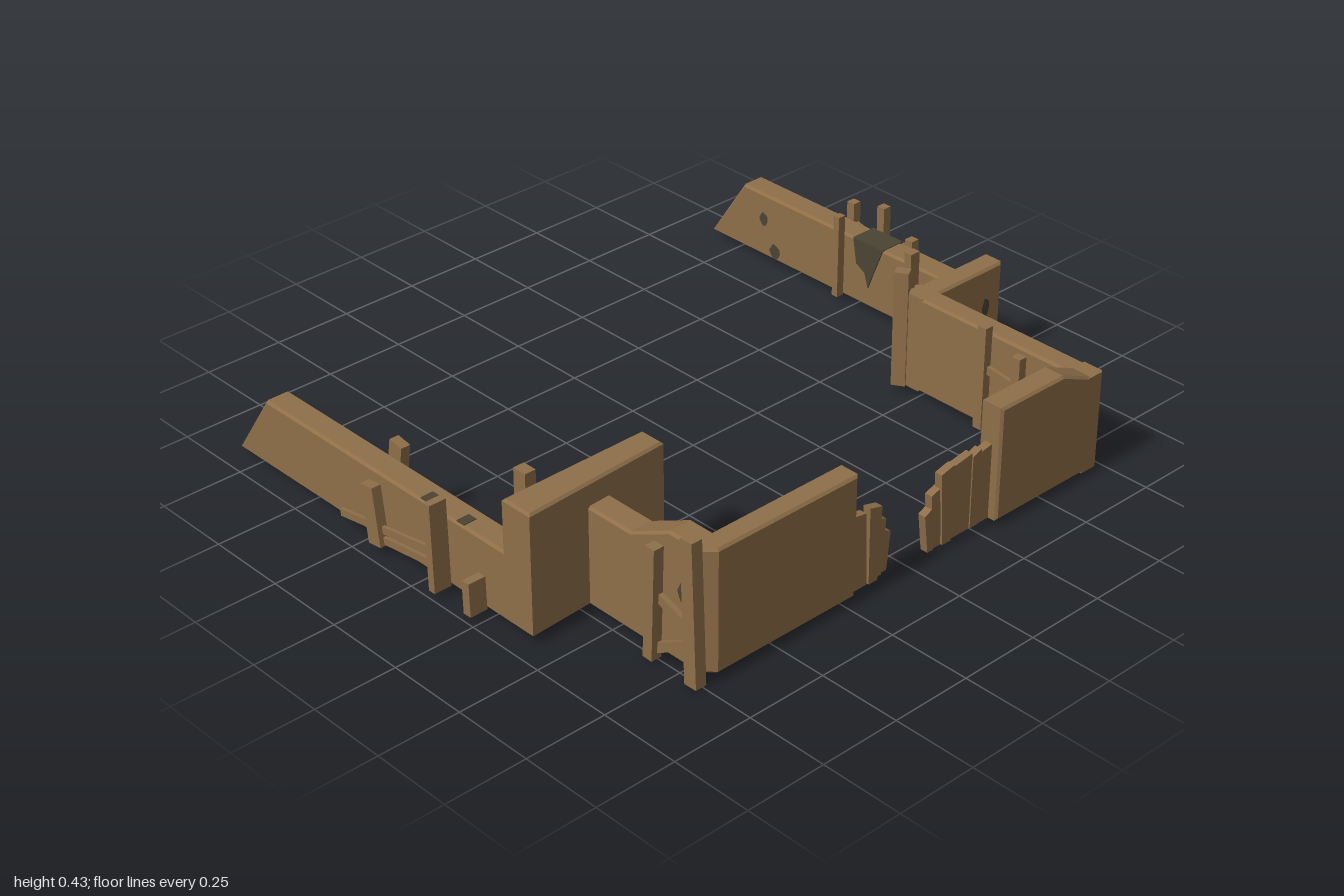
import * as THREE from 'three';

const wood = new THREE.MeshStandardMaterial({ color: 0x8f6f49 });
wood.name = 'wood';
const charred = new THREE.MeshStandardMaterial({ color: 0x4a4434, side: THREE.DoubleSide });
charred.name = 'charred';

const BASE = 0.02;
const BEVEL = 0.007;

export function createModel() {
  const model = new THREE.Group();

  const add = (name, geometry, material = wood) => {
    const mesh = new THREE.Mesh(geometry, material);
    mesh.name = name;
    model.add(mesh);
    return mesh;
  };

  const extrude = (points, thickness, b = BEVEL) => {
    const shape = new THREE.Shape(points.map(([x, y]) => new THREE.Vector2(x, y)));
    return new THREE.ExtrudeGeometry(shape, {
      depth: thickness - 2 * b, bevelEnabled: b > 0, bevelSegments: 1,
      bevelSize: b, bevelThickness: b, bevelOffset: -b,
    }).translate(0, 0, b);
  };

  // Wall running along x: elevation points are [x, y]
  const wallX = (name, points, z0, z1) =>
    add(name, extrude(points, z1 - z0).translate(0, 0, z0));

  // Wall running along z: elevation points are [z, y]
  const wallZ = (name, points, x0, x1, b) =>
    add(name, extrude(points, x1 - x0, b).rotateY(-Math.PI / 2).translate(x1, 0, 0));

  // Upright block: plan points are [x, z]
  const column = (name, plan, y0, y1) =>
    add(name, extrude(plan.map(([x, z]) => [x, -z]), y1 - y0).rotateX(-Math.PI / 2).translate(0, y0, 0));

  // Straight timber between two points
  const up = new THREE.Vector3(0, 1, 0);
  const beam = (name, from, to, width, depth, turn = 0) => {
    const a = new THREE.Vector3(...from);
    const dir = new THREE.Vector3(...to).sub(a);
    const mesh = add(name, new THREE.BoxGeometry(width, dir.length(), depth).rotateY(turn));
    mesh.position.copy(a).addScaledVector(dir, 0.5);
    mesh.quaternion.setFromUnitVectors(up, dir.normalize());
  };

  // Ragged dark hole facing +z (angle 0) or turned about y
  const hole = (x, y, z, w, h, angle = 0) => {
    const ring = [];
    for (let i = 0; i < 10; i++) {
      const t = (i / 10) * Math.PI * 2;
      const r = 0.5 * (1 + 0.12 * Math.sin(i * 2.7));
      ring.push(new THREE.Vector2(Math.cos(t) * w * r, Math.sin(t) * h * r));
    }
    const mesh = add('hole', new THREE.ShapeGeometry(new THREE.Shape(ring)), charred);
    mesh.position.set(x, y, z);
    mesh.rotation.y = angle;
  };

  // Front walls
  wallX('frontLongWall', [[-0.83, BASE], [0.33, BASE], [0.33, 0.23], [-0.685, 0.23]], 0.86, 0.94);
  column('frontButtress', [[0.31, 0.47], [0.39, 0.47], [0.415, 0.94], [0.31, 0.94]], BASE, 0.39);
  wallX('frontSteppedWall',
    [[0.38, BASE], [0.8, BASE], [0.8, 0.39], [0.7, 0.39], [0.56, 0.32], [0.38, 0.32]], 0.66, 0.74);
  wallZ('frontGateWall', [[0.22, BASE], [0.7, BASE], [0.7, 0.39], [0.22, 0.39]], 0.77, 0.84);
  column('frontCorner',
    [[0.77, 0.66], [0.84, 0.66], [0.84, 0.705], [0.805, 0.74], [0.77, 0.74]], BASE, 0.39);

  // Back walls
  wallX('backLongWall', [[-0.86, BASE], [0.25, BASE], [0.25, 0.23], [-0.72, 0.23]], -0.97, -0.89);
  wallZ('backReturnWall', [[-0.97, BASE], [-0.64, BASE], [-0.64, 0.32], [-0.97, 0.32]], 0.19, 0.26);
  wallX('backMiddleWall', [[0.19, BASE], [0.855, BASE], [0.855, 0.32], [0.19, 0.32]], -0.71, -0.64);
  wallZ('backGateWall',
    [[-0.71, BASE], [-0.3, BASE], [-0.3, 0.37], [-0.545, 0.37], [-0.66, 0.32], [-0.71, 0.32]], 0.78, 0.855);

  // Broken gate planks: [bottom z start, bottom z end, top z start, top z end, top y, x]
  const planks = [
    [0.24, 0.16, 0.24, 0.17, 0.255, 0.798], [0.157, 0.125, 0.16, 0.115, 0.255, 0.802],
    [0.123, 0.1, 0.113, 0.088, 0.2, 0.792], [0.098, 0.075, 0.088, 0.063, 0.148, 0.786],
    [-0.32, -0.258, -0.32, -0.258, 0.255, 0.802], [-0.258, -0.226, -0.258, -0.226, 0.255, 0.804],
    [-0.224, -0.15, -0.224, -0.15, 0.255, 0.802], [-0.148, -0.115, -0.15, -0.1, 0.255, 0.808],
    [-0.113, -0.085, -0.11, -0.072, 0.2, 0.802], [-0.083, -0.06, -0.07, -0.045, 0.15, 0.806],
  ];
  for (const [b0, b1, t0, t1, y, x] of planks)
    wallZ('gatePlank', [[b0, BASE], [b1, BASE], [t1, y - 0.012], [t0, y]], x, x + 0.024, 0);

  // Front long wall: outer props and braces, inner leaning plank
  beam('outerPost', [0.083, BASE, 0.97], [0.077, 0.285, 0.97], 0.024, 0.055);
  beam('shortPost', [0.225, BASE, 0.97], [0.222, 0.12, 0.97], 0.028, 0.055);
  beam('outerPlank', [-0.187, BASE, 0.957], [-0.21, 0.195, 0.957], 0.05, 0.03);
  beam('brace', [-0.35, 0.04, 0.953], [0.07, 0.11, 0.953], 0.022, 0.01);
  beam('brace', [-0.19, 0.035, 0.953], [0.07, 0.07, 0.953], 0.022, 0.01);
  beam('innerPlank', [-0.275, 0.002, 0.835], [-0.235, 0.26, 0.835], 0.05, 0.03);

  // Buttress posts
  beam('buttressPost', [0.287, 0, 0.845], [0.287, 0.425, 0.845], 0.045, 0.035);
  beam('buttressPost', [0.287, 0, 0.635], [0.287, 0.33, 0.65], 0.04, 0.03);

  // Front stepped wall: posts and braces
  beam('wallPost', [0.655, 0.002, 0.757], [0.667, 0.34, 0.757], 0.033, 0.033);
  beam('cornerPost', [0.813, 0, 0.757], [0.797, 0.425, 0.757], 0.042, 0.035);
  beam('brace', [0.665, 0.19, 0.748], [0.8, 0.145, 0.748], 0.028, 0.014);
  beam('brace', [0.66, 0.03, 0.748], [0.8, 0.105, 0.748], 0.028, 0.014);

  // Back long wall: outer frame
  for (const [x, y] of [[-0.345, 0.28], [-0.222, 0.31], [-0.105, 0.245]])
    beam('framePost', [x + 0.004, BASE, -0.985], [x, y, -0.985], 0.028, 0.028);
  for (const [y0, y1] of [[0.06, 0.1], [0.13, 0.12], [0.21, 0.18]]) {
    beam('frameRail', [-0.345, y0, -0.985], [-0.222, y1, -0.985], 0.02, 0.012);
    beam('frameRail', [-0.222, y1, -0.985], [-0.105, y0 + 0.01, -0.985], 0.02, 0.012);
  }

  // Back walls: inner posts and rails
  beam('innerPost', [-0.3, BASE, -0.877], [-0.3, 0.288, -0.877], 0.022, 0.026);
  beam('innerPost', [0.002, BASE, -0.87], [0.002, 0.288, -0.87], 0.026, 0.036);
  beam('innerPost', [0.165, BASE, -0.877], [0.165, 0.25, -0.877], 0.026, 0.026);
  beam('innerRail', [0, 0.17, -0.878], [0.18, 0.14, -0.878], 0.025, 0.012);
  beam('innerRail', [0, 0.06, -0.878], [0.18, 0.1, -0.878], 0.025, 0.012);
  beam('cornerPost', [0.183, BASE, -0.637], [0.18, 0.385, -0.637], 0.042, 0.036, Math.PI / 6);
  for (const [x, y] of [[0.502, 0.345], [0.628, 0.3], [0.745, 0.3]])
    beam('innerPost', [x, BASE, -0.627], [x, y, -0.627], 0.03, 0.028);
  beam('innerRail', [0.5, 0.21, -0.632], [0.745, 0.18, -0.632], 0.025, 0.012);
  beam('innerRail', [0.5, 0.08, -0.632], [0.745, 0.1, -0.632], 0.025, 0.012);

  // Holes on wall faces
  hole(0.035, 0.175, 0.942, 0.035, 0.05);
  hole(0.76, 0.235, 0.742, 0.05, 0.078);
  hole(0.05, 0.1, 0.858, 0.03, 0.04, Math.PI);
  hole(0.25, 0.17, 0.858, 0.03, 0.04, Math.PI);
  hole(0.768, 0.24, 0.42, 0.03, 0.05, -Math.PI / 2);
  hole(0.262, 0.195, -0.905, 0.03, 0.06, Math.PI / 2);
  hole(-0.63, 0.145, -0.888, 0.035, 0.045);
  hole(-0.58, 0.05, -0.888, 0.045, 0.05);
  hole(-0.61, 0.14, -0.972, 0.035, 0.04, Math.PI);

  // Scorch marks on top of the long walls
  for (const x of [-0.01, 0.135]) {
    add('scorchMark', new THREE.BoxGeometry(0.03, 0.004, 0.04), charred).position.set(x, 0.23, 0.915);
  }
  const burn = [[-0.25, 0.231], [-0.235, 0.15], [-0.2, 0.13], [-0.185, 0.085], [-0.165, 0.14], [-0.13, 0.231]];
  for (const z of [-0.974, -0.89])
    add('burntPatch', extrude(burn, 0.004, 0).translate(0, 0, z), charred);
  add('burntTop', new THREE.BoxGeometry(0.12, 0.004, 0.084), charred).position.set(-0.19, 0.23, -0.93);

  return model;
}
